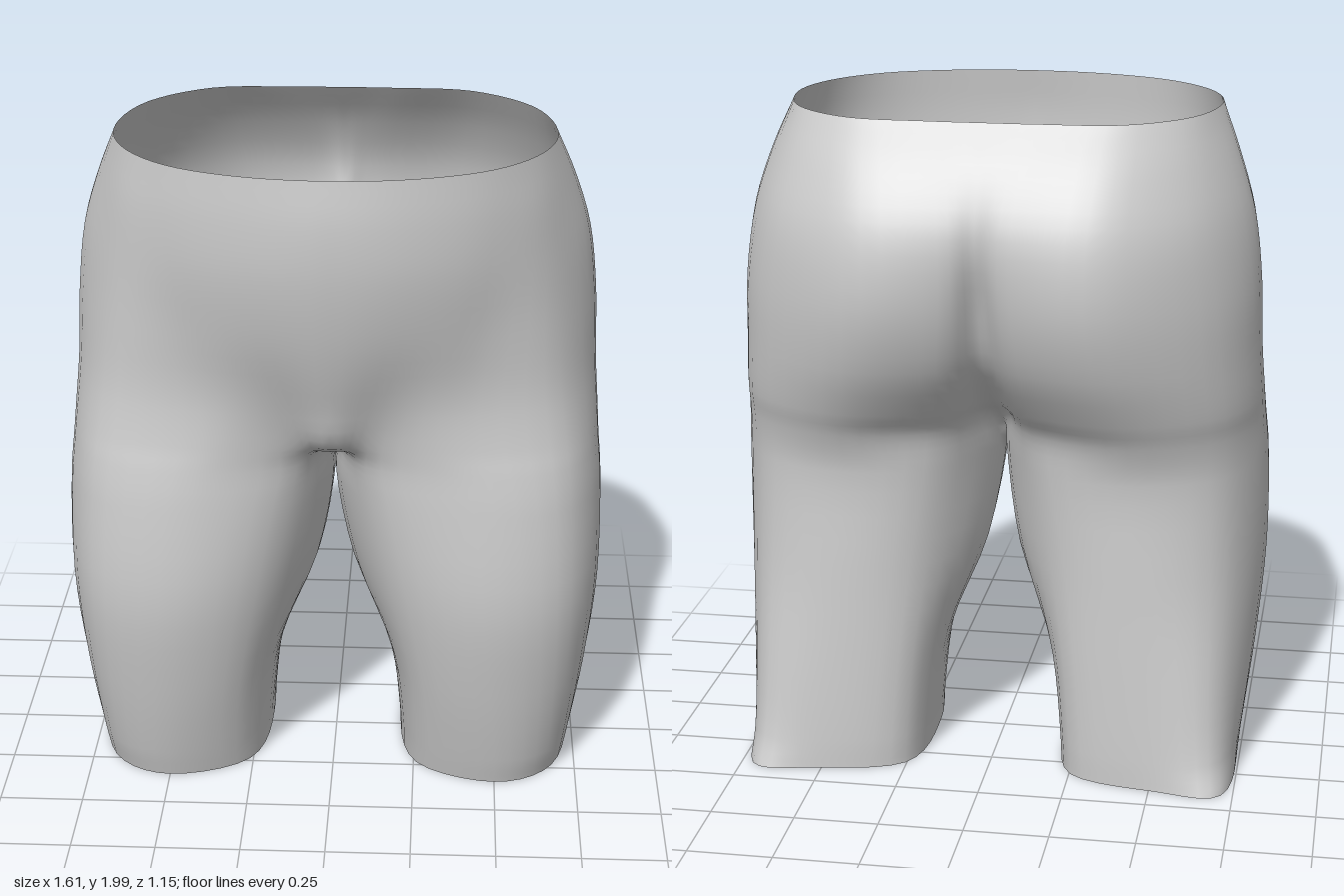
import * as THREE from 'three';
import { mergeVertices } from 'three/addons/utils/BufferGeometryUtils.js';

// Sections of the left half: height, then x,z pairs running
// inner/front -> front -> outer side -> back -> inner/back.
// Leg sections are closed loops.
const LEG = [
  [0.01, 0.205, -0.05, 0.26, 0.235, 0.5, 0.34, 0.68, 0.23, 0.74, -0.08, 0.715, -0.405, 0.52, -0.41, 0.255, -0.33],
  [0.1, 0.2, -0.04, 0.26, 0.26, 0.5, 0.365, 0.69, 0.26, 0.75, -0.06, 0.705, -0.37, 0.51, -0.405, 0.25, -0.33],
  [0.35, 0.165, -0.03, 0.24, 0.31, 0.48, 0.42, 0.705, 0.325, 0.78, 0.02, 0.7, -0.32, 0.48, -0.39, 0.23, -0.32],
  [0.65, 0.05, 0, 0.18, 0.34, 0.45, 0.462, 0.71, 0.375, 0.803, 0.08, 0.7, -0.265, 0.45, -0.375, 0.19, -0.3],
  [0.95, 0, 0.05, 0.12, 0.345, 0.42, 0.445, 0.7, 0.36, 0.8, 0.06, 0.69, -0.255, 0.42, -0.37, 0.14, -0.29],
];
// Hip sections are open arcs that end on the centre line.
const HIP = [
  [1.07, 0, 0.19, 0.1, 0.355, 0.39, 0.432, 0.69, 0.345, 0.79, 0.04, 0.69, -0.27, 0.42, -0.405, 0.13, -0.31, 0, -0.09],
  [1.15, 0, 0.415, 0.11, 0.395, 0.37, 0.425, 0.68, 0.33, 0.785, 0.02, 0.69, -0.295, 0.41, -0.45, 0.13, -0.38, 0, -0.23],
  [1.3, 0, 0.475, 0.15, 0.445, 0.37, 0.42, 0.66, 0.31, 0.775, -0.01, 0.675, -0.33, 0.39, -0.52, 0.12, -0.485, 0, -0.39],
  [1.5, 0, 0.535, 0.2, 0.505, 0.41, 0.435, 0.645, 0.3, 0.768, -0.02, 0.66, -0.35, 0.37, -0.565, 0.1, -0.545, 0, -0.475],
  [1.7, 0, 0.57, 0.22, 0.54, 0.44, 0.45, 0.635, 0.285, 0.743, -0.02, 0.625, -0.35, 0.37, -0.545, 0.1, -0.55, 0, -0.53],
  [1.86, 0, 0.575, 0.24, 0.54, 0.455, 0.445, 0.615, 0.28, 0.693, 0, 0.595, -0.285, 0.38, -0.465, 0.12, -0.48, 0, -0.48],
  [2, 0, 0.56, 0.24, 0.53, 0.45, 0.435, 0.59, 0.265, 0.635, 0.05, 0.57, -0.195, 0.39, -0.355, 0.16, -0.378, 0, -0.38],
];
const AROUND = 5; // steps between neighbouring points of a section
const UP = 4; // steps between neighbouring sections

const cubic = (a, b, c, d, t) =>
  b + 0.5 * t * (c - a + t * (2 * a - 5 * b + 4 * c - d + t * (3 * (b - c) + d - a)));

// Smooth curve through one section
function sampleSection([y, ...flat], closed) {
  const p = [];
  for (let i = 0; i < flat.length; i += 2) p.push([flat[i], flat[i + 1]]);
  if (closed) p.push(p[0]);
  const n = p.length - 1;
  const mirrored = ([x, z]) => [-x, z];
  const before = closed ? p[n - 1] : mirrored(p[1]);
  const after = closed ? p[1] : mirrored(p[n - 1]);
  const q = [before, ...p, after];
  const out = [];
  for (let k = 0; k <= n * AROUND; k++) {
    const i = Math.min(Math.floor(k / AROUND), n - 1);
    const t = k / AROUND - i;
    const [x, z] = [0, 1].map((c) => cubic(q[i][c], q[i + 1][c], q[i + 2][c], q[i + 3][c], t));
    out.push(new THREE.Vector3(x, y, z));
  }
  return out;
}

// Rows of points from hem to waist
function buildRows() {
  const sections = [
    ...LEG.map((s) => sampleSection(s, true)),
    ...HIP.map((s) => sampleSection(s, false)),
  ];
  const steps = (sections.length - 1) * UP;
  const columns = sections[0].map((_, i) => new THREE.CatmullRomCurve3(sections.map((s) => s[i])));
  const crotchRow = (LEG.length - 1) * UP;
  const rows = [];
  for (let j = 0; j <= steps; j++) {
    const row = columns.map((c) => c.getPoint(j / steps));
    row.forEach((v) => { v.x = Math.max(0, v.x); });
    const first = row[0];
    const last = row[row.length - 1];
    if (j <= crotchRow) { // close the leg along the inner thigh
      first.lerp(last, 0.5);
      last.copy(first);
    } else {
      first.x = last.x = 0;
    }
    rows.push(row);
  }
  return rows;
}

// Both halves, welded along the centre line and inner thighs
function buildGarment() {
  const rows = buildRows();
  const width = rows[0].length;
  const positions = [];
  const index = [];
  for (const side of [1, -1]) {
    const base = positions.length / 3;
    rows.forEach((row) => row.forEach((v) => positions.push(side * v.x, v.y, v.z)));
    for (let j = 0; j < rows.length - 1; j++) {
      for (let i = 0; i < width - 1; i++) {
        const a = base + j * width + i;
        const [b, c, d] = [a + 1, a + width, a + width + 1];
        if (side > 0) index.push(a, b, c, b, d, c);
        else index.push(a, c, b, b, c, d);
      }
    }
  }
  const geometry = new THREE.BufferGeometry();
  geometry.setAttribute('position', new THREE.Float32BufferAttribute(positions, 3));
  geometry.setIndex(index);
  const welded = mergeVertices(geometry, 1e-4);
  welded.computeVertexNormals();
  return welded;
}

export function createModel() {
  const group = new THREE.Group();
  group.name = 'shorts';
  const cloth = new THREE.MeshStandardMaterial({ color: 0xcccccc, side: THREE.DoubleSide });
  cloth.name = 'grey cloth';
  const garment = new THREE.Mesh(buildGarment(), cloth);
  garment.name = 'legsAndHips';
  group.add(garment);
  return group;
}
